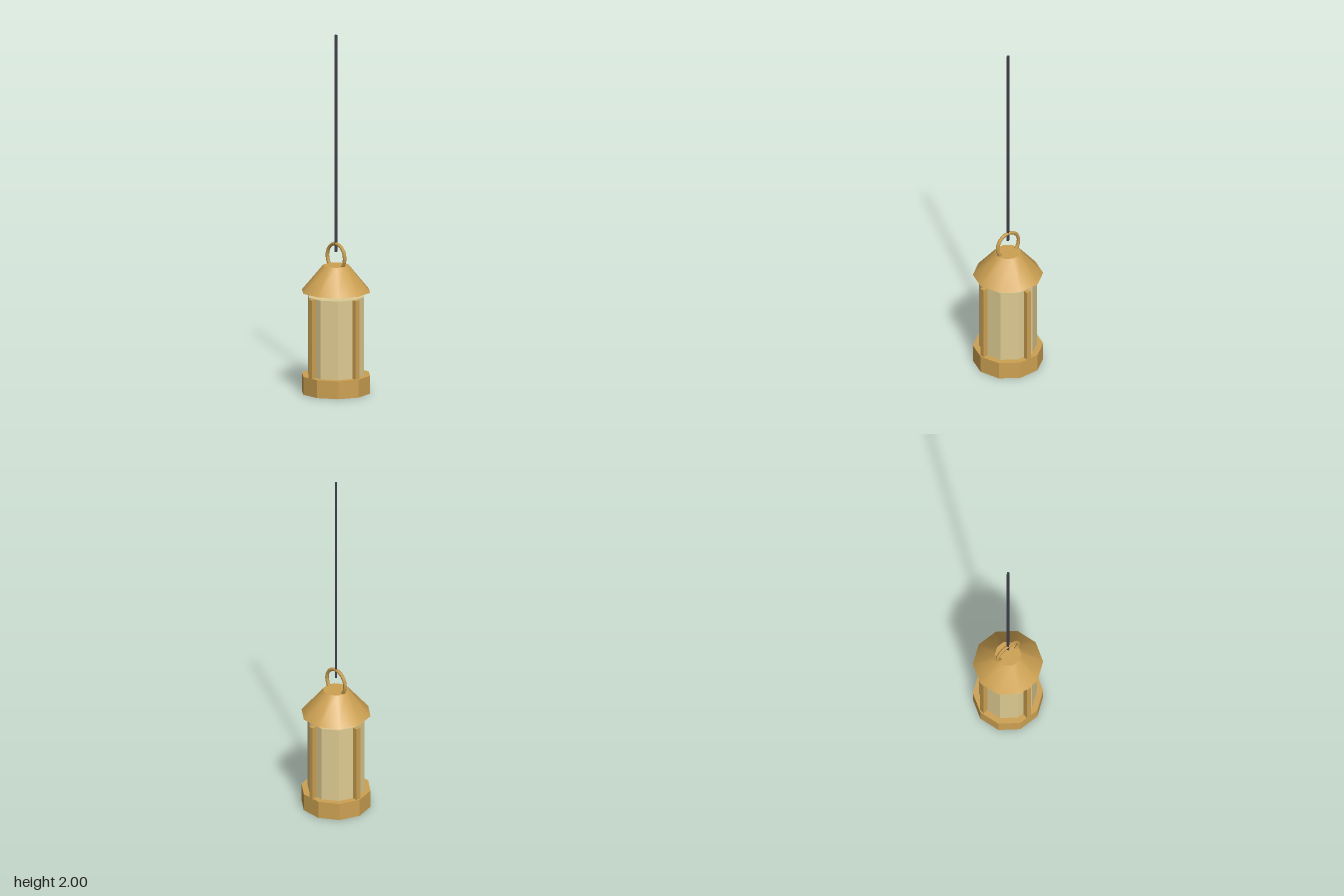
import * as THREE from 'three';

export function createModel() {
  const lantern = new THREE.Group();
  lantern.name = 'hangingLantern';

  const brass = new THREE.MeshStandardMaterial({ name: 'brass', color: 0xcda152 });
  const glass = new THREE.MeshStandardMaterial({ name: 'paleGlass', color: 0xdecb92 });
  const iron = new THREE.MeshStandardMaterial({ name: 'darkIron', color: 0x3c3c48 });

  const add = (name, geometry, material, x = 0, y = 0, z = 0) => {
    const mesh = new THREE.Mesh(geometry, material);
    mesh.name = name;
    mesh.position.set(x, y, z);
    lantern.add(mesh);
    return mesh;
  };

  // Faceted frustum between two heights
  const frustum = (rTop, rBottom, y0, y1, sides, flat) => {
    let g = new THREE.CylinderGeometry(rTop, rBottom, y1 - y0, sides);
    if (flat) {
      g = g.toNonIndexed();
      g.computeVertexNormals();
    }
    return g.translate(0, (y0 + y1) / 2, 0);
  };

  // Ten-sided body: base, glass and the roof floating just above the posts
  add('base', frustum(0.193, 0.193, 0, 0.1, 10, true), brass);
  add('glassPane', frustum(0.159, 0.159, 0.1, 0.54, 10, true), glass);
  add('roof', frustum(0.072, 0.193, 0.565, 0.71, 10, false), brass);

  // Four corner posts
  for (let i = 0; i < 4; i++) {
    const a = (i * Math.PI) / 2;
    add('post', new THREE.BoxGeometry(0.028, 0.45, 0.028), brass,
      Math.sin(a) * 0.17, 0.315, Math.cos(a) * 0.17);
  }

  // Hanging ring in the y-z plane
  add('ring', new THREE.TorusGeometry(0.074, 0.01, 6, 24), brass, 0, 0.757, 0).rotation.y = Math.PI / 2;

  // Suspension rod
  add('rod', frustum(0.009, 0.009, 0.785, 2, 4, true), iron);

  return lantern;
}
